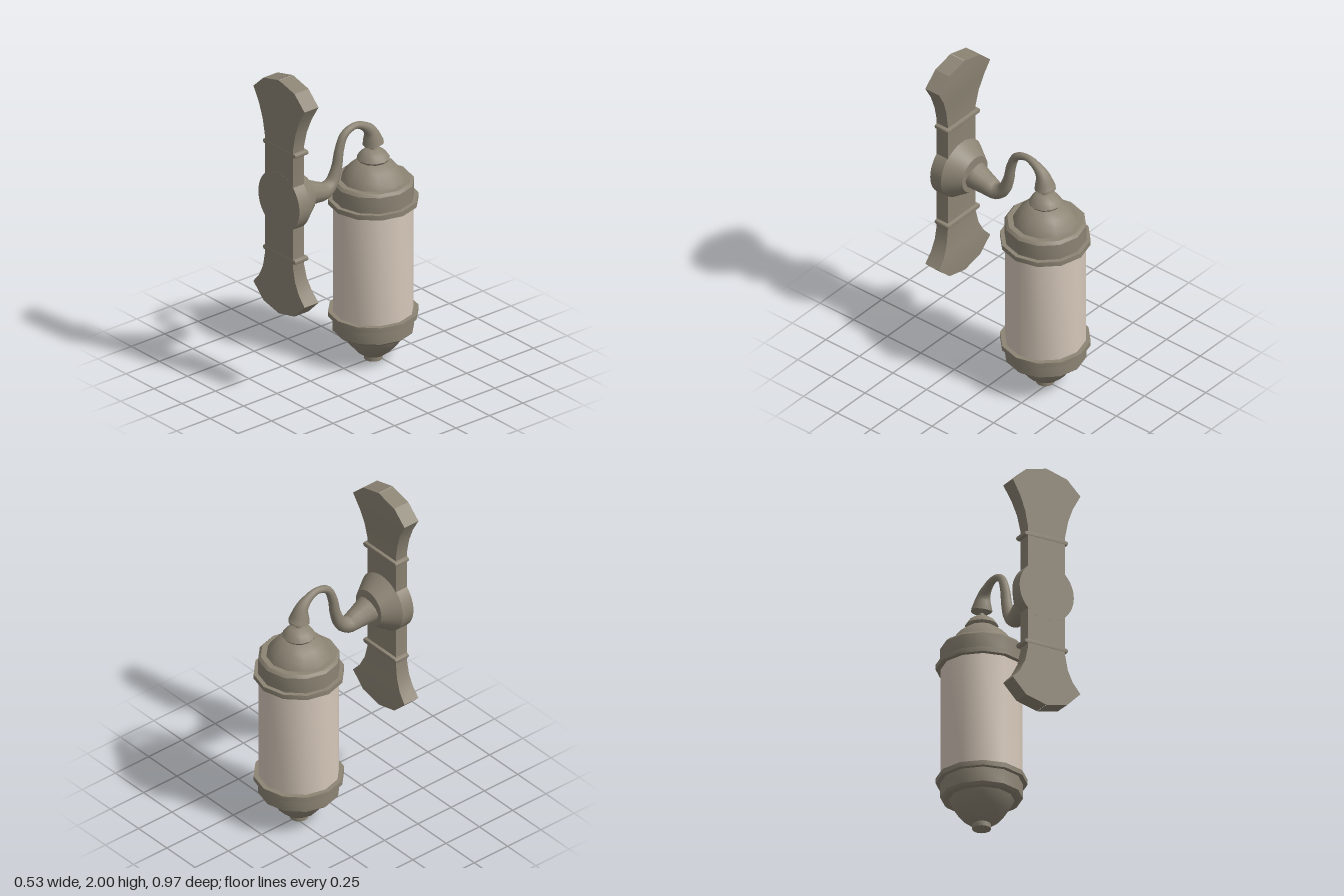
import * as THREE from 'three';
import { toCreasedNormals } from 'three/addons/utils/BufferGeometryUtils.js';

const LAMP_Z = -0.22, ARM_Y = 1.225, BACK = 0.485;

export function createModel() {
  const group = new THREE.Group();
  const bronze = new THREE.MeshStandardMaterial({ color: 0x8c8474 });
  bronze.name = 'bronze';
  const glass = new THREE.MeshStandardMaterial({ color: 0xd6c8ba });
  glass.name = 'frosted glass';

  const add = (name, geometry, material = bronze) => {
    const mesh = new THREE.Mesh(geometry, material);
    mesh.name = name;
    group.add(mesh);
    return mesh;
  };
  // Turned part: profile of [radius, height], listed bottom to top
  const turned = (profile, sides, crease = 0.65) => toCreasedNormals(
    new THREE.LatheGeometry(profile.map(([r, y]) => new THREE.Vector2(r, y)), sides), crease);
  const lampPart = (name, profile, material) => {
    add(name, turned(profile, 12), material).position.z = LAMP_Z;
  };

  // Lantern, from the bottom up
  lampPart('bottomKnob', [[0, 0], [0.055, 0], [0.055, 0.035], [0, 0.035]]);
  lampPart('bottomBowl', [[0, 0.03], [0.065, 0.03], [0.105, 0.06], [0.145, 0.105], [0.175, 0.15], [0.19, 0.185]]);
  lampPart('lowerBand', [[0, 0.182], [0.222, 0.182], [0.238, 0.197], [0.238, 0.29]]);
  lampPart('glassCylinder', [[0.235, 0.3], [0.235, 1.02]], glass);
  const rim = (y) => [[0, y], [0.264, y], [0.264, y + 0.03], [0, y + 0.03]];
  lampPart('lowerRim', rim(0.286));
  lampPart('upperRim', rim(1.005));
  lampPart('upperBand', [[0.238, 1.03], [0.238, 1.135], [0.222, 1.152], [0, 1.152]]);
  lampPart('dome', [[0.19, 1.15], [0.17, 1.19], [0.135, 1.23], [0.085, 1.268], [0, 1.27]]);
  lampPart('finial', [[0, 1.268], [0.088, 1.27], [0.097, 1.283], [0.075, 1.315], [0.052, 1.332],
    [0.022, 1.34], [0.018, 1.358], [0.032, 1.37], [0.062, 1.378], [0.058, 1.39], [0, 1.4]]);

  // Arm: a tube whose rings are scaled to a changing radius; [y, z, radius]
  const path = [
    [1.221, 0.305, 0.085], [1.2, 0.222, 0.066], [1.186, 0.148, 0.053], [1.22, 0.092, 0.04],
    [1.311, 0.053, 0.032], [1.412, 0.034, 0.028], [1.498, -0.005, 0.024], [1.528, -0.085, 0.02],
    [1.502, -0.154, 0.027], [1.455, -0.2, 0.04], [1.38, -0.219, 0.063],
  ];
  const curve = new THREE.CatmullRomCurve3(path.map(([y, z]) => new THREE.Vector3(0, y, z)));
  const segments = 40, sides = 12;
  const arm = new THREE.TubeGeometry(curve, segments, 1, sides);
  const normal = new THREE.Vector3();
  for (let i = 0; i < arm.attributes.position.count; i++) {
    const u = Math.floor(i / (sides + 1)) / segments;
    const t = curve.getUtoTmapping(u) * (path.length - 1);
    const k = Math.min(Math.floor(t), path.length - 2);
    const radius = THREE.MathUtils.lerp(path[k][2], path[k + 1][2], t - k);
    normal.fromBufferAttribute(arm.attributes.normal, i);
    const p = curve.getPointAt(u).addScaledVector(normal, radius);
    arm.attributes.position.setXYZ(i, p.x, p.y, p.z);
  }
  arm.computeVertexNormals();
  add('arm', toCreasedNormals(arm, 0.9));

  // Round boss on the plate, tapering towards the arm
  const boss = add('boss', turned(
    [[0, 0], [0.183, 0], [0.183, 0.08], [0.113, 0.182], [0, 0.182]], 48, 0.5));
  boss.rotation.x = -Math.PI / 2;
  boss.position.set(0, ARM_Y, BACK + 0.0005);

  // Flared wall plate: rows of [height, half width, inner face z]
  const rows = [
    [0.508, 0.001, 0.38], [0.54, 0.138, 0.38], [0.63, 0.228, 0.38], [0.69, 0.177, 0.387],
    [0.76, 0.143, 0.396], [0.85, 0.125, 0.403], [1.6, 0.125, 0.403], [1.7, 0.145, 0.397],
    [1.79, 0.178, 0.388], [1.88, 0.228, 0.38], [1.965, 0.138, 0.38], [2, 0.001, 0.38],
  ];
  const positions = [], index = [];
  rows.forEach(([y, w, z], r) => {
    positions.push(-w, y, BACK, w, y, BACK, w, y, z, -w, y, z);
    if (r === 0) return;
    for (let i = 0; i < 4; i++) {
      const a = (r - 1) * 4 + i, b = (r - 1) * 4 + (i + 1) % 4;
      index.push(a, b, b + 4, a, b + 4, a + 4);
    }
  });
  const plate = new THREE.BufferGeometry();
  plate.setAttribute('position', new THREE.Float32BufferAttribute(positions, 3));
  plate.setIndex(index);
  add('wallPlate', toCreasedNormals(plate, 0.5));

  // Rounded bands across the plate
  const band = new THREE.Shape();
  band.moveTo(-0.132, -0.013);
  band.lineTo(0.132, -0.013);
  band.absarc(0.132, 0, 0.013, -Math.PI / 2, Math.PI / 2);
  band.lineTo(-0.132, 0.013);
  band.absarc(-0.132, 0, 0.013, Math.PI / 2, Math.PI * 1.5);
  const bandGeometry = toCreasedNormals(new THREE.ExtrudeGeometry(band, {
    depth: 0.084, bevelEnabled: true, bevelThickness: 0.01, bevelSize: 0.008,
    bevelOffset: -0.006, bevelSegments: 2, curveSegments: 6,
  }), 0.7);
  for (const y of [0.883, 1.562]) {
    add('plateBand', bandGeometry).position.set(0, y, 0.393);
  }
  return group;
}
